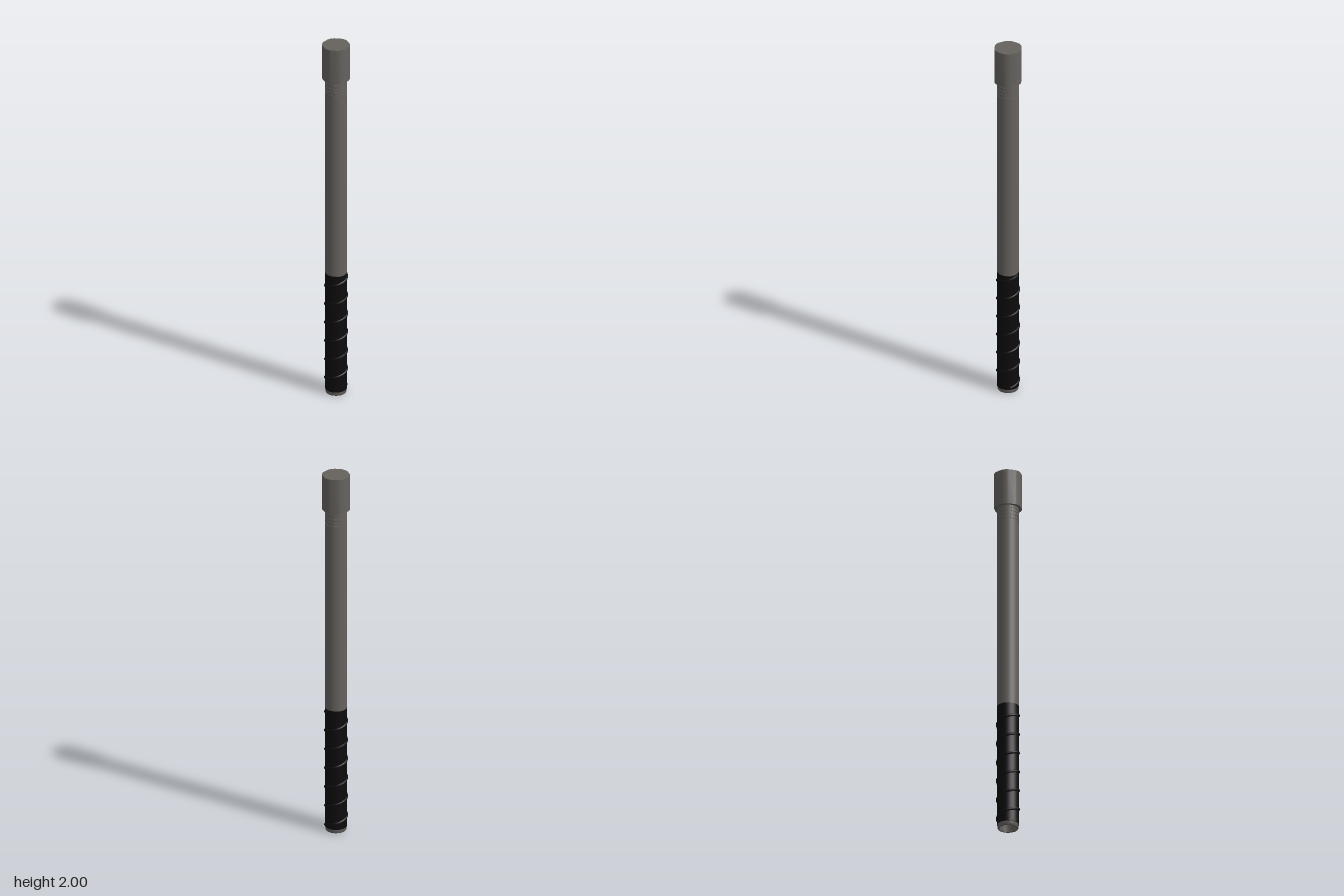
import * as THREE from 'three';
import { toCreasedNormals } from 'three/addons/utils/BufferGeometryUtils.js';

const metal = new THREE.MeshStandardMaterial({ name: 'warm grey metal', color: 0x65625e });
const rubber = new THREE.MeshStandardMaterial({ name: 'black grip', color: 0x0c0c0c });

const SIDES = 32;

export function createModel() {
  const model = new THREE.Group();
  model.name = 'baton';

  const add = (name, geometry, material, y = 0) => {
    const mesh = new THREE.Mesh(geometry, material);
    mesh.name = name;
    mesh.position.y = y;
    model.add(mesh);
    return mesh;
  };
  const rod = (name, radius, y0, y1, material) =>
    add(name, new THREE.CylinderGeometry(radius, radius, y1 - y0, SIDES), material, (y0 + y1) / 2);
  const lathe = (points) =>
    toCreasedNormals(new THREE.LatheGeometry(points.map(([r, y]) => new THREE.Vector2(r, y)), SIDES), 0.6);

  // Hollow butt, running from the recess out to the rim
  add('buttCap', lathe([
    [0, 0.04], [0.04, 0.04], [0.044, 0], [0.052, 0], [0.055, 0.006], [0.055, 0.025],
  ]), metal);

  // Grip sleeve with softened ends
  add('gripSleeve', lathe([
    [0.05, 0.018], [0.057, 0.021], [0.057, 0.688], [0.05, 0.692],
  ]), rubber);

  // Raised spiral around the grip
  const pitch = 0.106, y0 = 0.03, y1 = 0.68;
  class Spiral extends THREE.Curve {
    getPoint(t, target = new THREE.Vector3()) {
      const y = y0 + (y1 - y0) * t;
      const a = ((y + 0.01) / pitch) * Math.PI * 2;
      return target.set(-0.054 * Math.cos(a), y, 0.054 * Math.sin(a));
    }
  }
  add('gripSpiral', new THREE.TubeGeometry(new Spiral(), 200, 0.008, 8, false), rubber);

  // Shaft, and the grooved neck made of narrow bands over a thinner core
  rod('shaft', 0.0555, 0.68, 1.73, metal);
  rod('neckCore', 0.0535, 1.72, 1.82, metal);
  for (let i = 0; i < 4; i++) {
    rod('neckBand' + (i + 1), 0.0555, 1.734 + i * 0.02, 1.75 + i * 0.02, metal);
  }

  // Head: a hexagon with rounded corners
  const outline = [];
  for (let i = 0; i < 6; i++) {
    const corner = (i * Math.PI) / 3;
    for (const [offset, radius] of [[-0.26, 0.0712], [-0.13, 0.0718], [0, 0.072], [0.13, 0.0718], [0.26, 0.0712]]) {
      const a = corner + offset;
      outline.push(new THREE.Vector2(radius * Math.cos(a), radius * Math.sin(a)));
    }
  }
  const head = new THREE.ExtrudeGeometry(new THREE.Shape(outline), { depth: 0.193, bevelEnabled: false });
  head.rotateX(-Math.PI / 2);
  add('head', toCreasedNormals(head, 0.6), metal, 1.807);

  return model;
}
